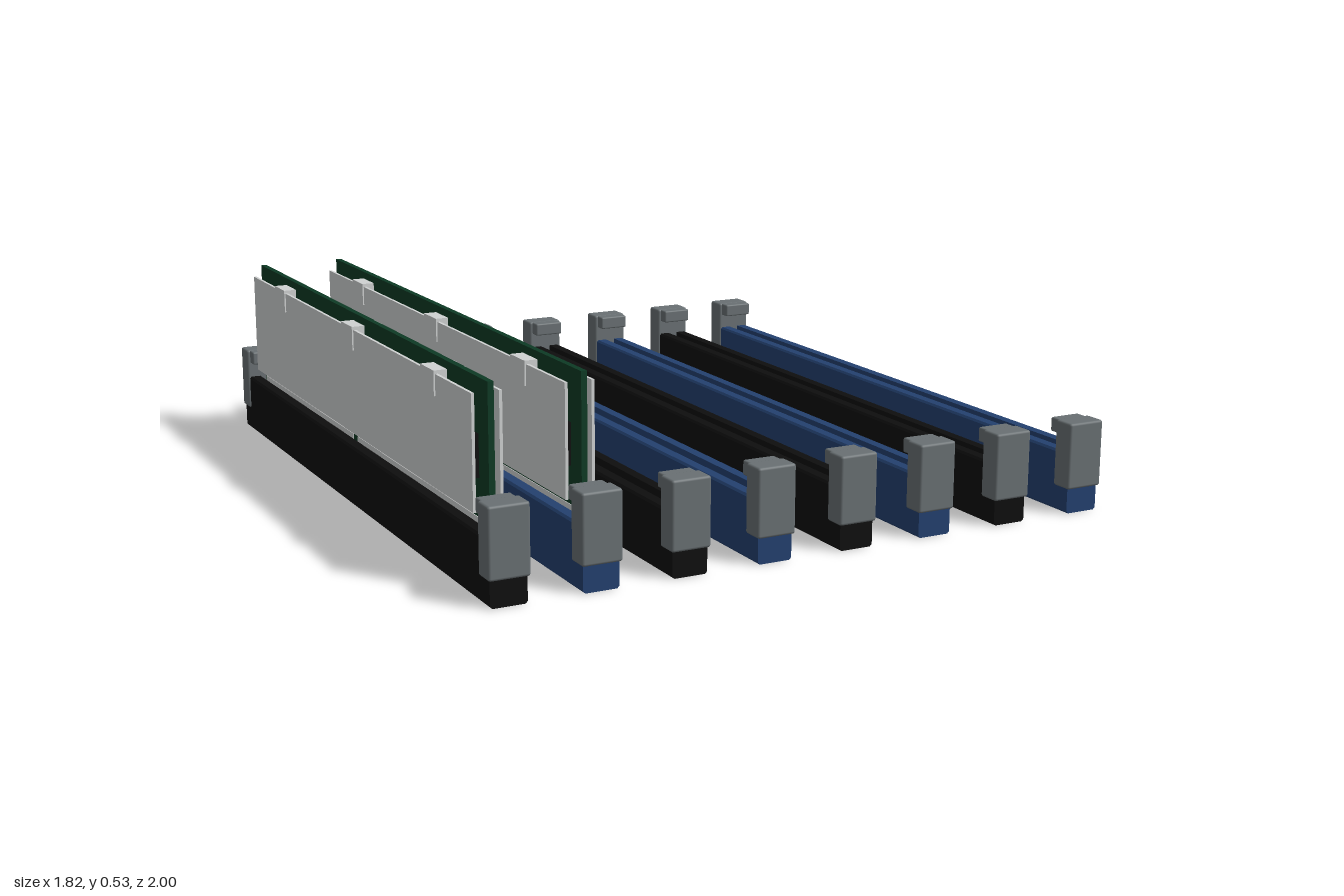
import * as THREE from 'three';
import { RoundedBoxGeometry } from 'three/addons/geometries/RoundedBoxGeometry.js';

const mat = (name, color) => {
  const m = new THREE.MeshStandardMaterial({ color });
  m.name = name;
  return m;
};

export function createModel() {
  const black = mat('black plastic', 0x0e0e0e);
  const blue = mat('blue plastic', 0x23406f);
  const grey = mat('grey plastic', 0x697073);
  const green = mat('green board', 0x0d3a24);
  const silver = mat('silver metal', 0xd0d2d2);

  const add = (parent, name, geo, material, x, y, z) => {
    const m = new THREE.Mesh(geo, material);
    m.name = name;
    m.position.set(x, y, z);
    parent.add(m);
    return m;
  };

  // Long housing: bevelled outline with a groove in the top
  const s = new THREE.Shape();
  [[-0.043, 0], [0.043, 0], [0.049, 0.006], [0.049, 0.164], [0.044, 0.17], [0.016, 0.17], [0.016, 0.13],
    [-0.016, 0.13], [-0.016, 0.17], [-0.044, 0.17], [-0.049, 0.164], [-0.049, 0.006]]
    .forEach(([x, y], i) => (i ? s.lineTo(x, y) : s.moveTo(x, y)));
  const housingGeo = new THREE.ExtrudeGeometry(s, { depth: 1.98, bevelEnabled: false });
  const grooveGeo = new THREE.BoxGeometry(0.03, 0.015, 1.82);

  // End latch: upright block with a hook facing inwards
  const latchGeo = new RoundedBoxGeometry(0.11, 0.185, 0.065, 2, 0.007);
  const hookGeo = new RoundedBoxGeometry(0.092, 0.04, 0.04, 2, 0.005);

  // Memory module parts
  const boardGeo = new THREE.BoxGeometry(0.016, 0.39, 1.8);
  const plateGeo = new THREE.BoxGeometry(0.008, 0.295, 1.75);
  const chipGeo = new THREE.BoxGeometry(0.014, 0.11, 0.14);
  const clipGeo = new THREE.BoxGeometry(0.088, 0.065, 0.09);

  function makeSlot(bodyMaterial) {
    const g = new THREE.Group();
    g.name = 'slot';
    add(g, 'housing', housingGeo, bodyMaterial, 0, 0, -0.99);
    add(g, 'grooveLining', grooveGeo, black, 0, 0.135, 0);
    for (const side of [-1, 1]) {
      add(g, 'latch', latchGeo, grey, 0, 0.1625, side * 0.9675);
      add(g, 'latchHook', hookGeo, grey, 0, 0.234, side * 0.922);
    }
    return g;
  }

  function makeModule() {
    const g = new THREE.Group();
    g.name = 'memoryModule';
    add(g, 'circuitBoard', boardGeo, green, 0, 0.335, 0);
    for (const side of [-1, 1]) {
      add(g, 'heatPlate', plateGeo, silver, side * 0.036, 0.3525, 0);
      // Contact strips, parted at the key notch
      for (const [z0, z1] of [[-0.89, -0.07], [-0.035, 0.89]]) {
        add(g, 'contactStrip', new THREE.BoxGeometry(0.003, 0.045, z1 - z0), silver,
          side * 0.0085, 0.1575, (z0 + z1) / 2);
      }
      for (let i = 0; i < 8; i++) {
        add(g, 'memoryChip', chipGeo, black, side * 0.015, 0.335, -0.77 + i * 0.22);
      }
    }
    for (const z of [-0.6, 0, 0.6]) add(g, 'clip', clipGeo, silver, 0, 0.4765, z);
    return g;
  }

  // Eight slots in alternating colours; the first two hold modules
  const root = new THREE.Group();
  root.name = 'memoryBank';
  for (let i = 0; i < 8; i++) {
    const slot = makeSlot(i % 2 ? blue : black);
    slot.position.x = -0.855 + i * 0.2443;
    if (i < 2) slot.add(makeModule());
    root.add(slot);
  }
  return root;
}
